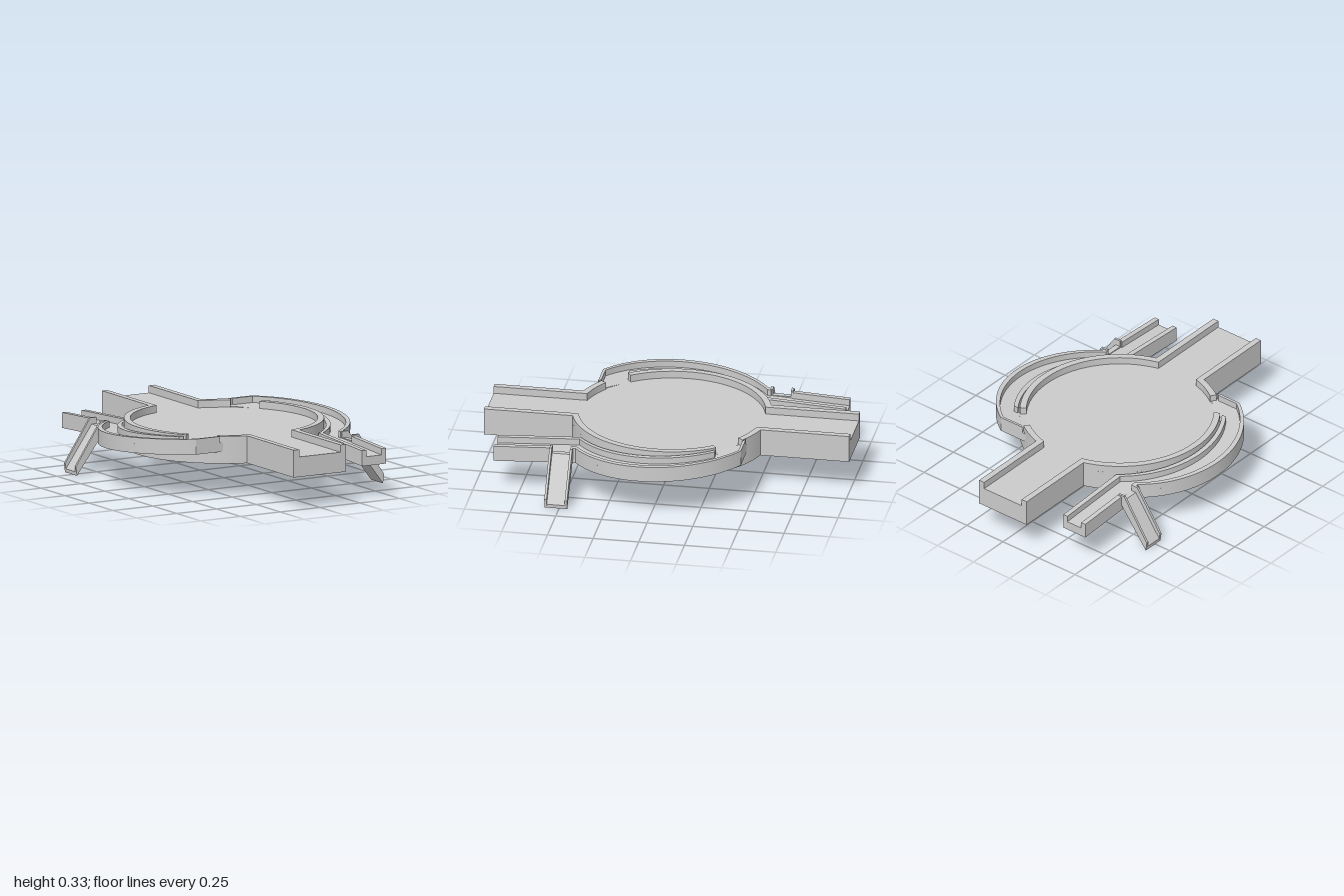
import * as THREE from 'three';
import { toCreasedNormals } from 'three/addons/utils/BufferGeometryUtils.js';

const mat = new THREE.MeshStandardMaterial({ color: 0xcccccc });
const BOTTOM = 0.18, FLOOR = 0.29, TOP = 0.33;
const R_IN = 0.505, R_OUT = 0.54;      // round wall
const C_IN = 0.13, C_OUT = 0.165;      // straight channel half widths
const RAMP_R = 0.55, RAMP_W = 0.152, RAMP_WALL = 0.028, RAMP_FLOOR = -0.035;

function mesh(name, geo) {
  const m = new THREE.Mesh(toCreasedNormals(geo, 0.5), mat);
  m.name = name;
  return m;
}

// Points on an arc about the origin
function arc(r, a0, a1, n = 40) {
  return Array.from({ length: n + 1 }, (_, i) => {
    const a = a0 + (a1 - a0) * i / n;
    return new THREE.Vector2(r * Math.cos(a), r * Math.sin(a));
  });
}

// Plan outline (x, -z) raised from y0 to y1
function slab(name, pts, y0, y1) {
  const g = new THREE.ExtrudeGeometry(new THREE.Shape(pts), { depth: y1 - y0, bevelEnabled: false });
  g.rotateX(-Math.PI / 2).translate(0, y0, 0);
  return mesh(name, g);
}

// Side outline (x, y) extended from z0 to z1
function sideSlab(name, pts, z0, z1) {
  const shape = new THREE.Shape(pts.map(p => new THREE.Vector2(...p)));
  const g = new THREE.ExtrudeGeometry(shape, { depth: z1 - z0, bevelEnabled: false });
  return mesh(name, g.translate(0, 0, z0));
}

// Rim wall: along a straight channel, then round the disc to the given angle
function rimWall(endDeg, side) {
  const end = THREE.MathUtils.degToRad(endDeg);
  const pts = [
    new THREE.Vector2(C_IN, 1),
    ...arc(R_IN, Math.acos(C_IN / R_IN), end),
    ...arc(R_OUT, end, Math.acos(C_OUT / R_OUT)),
    new THREE.Vector2(C_OUT, 1),
  ];
  pts.forEach(p => { p.y *= side; });
  return slab('rimWall', pts, FLOOR - 0.01, TOP);
}

// Ramp path: its inner edge follows the disc, then runs straight; its top falls evenly
const rampX = z => Math.sqrt(RAMP_R ** 2 - Math.min(z, 0.44) ** 2);
const rampTop = z => 0.307 - 0.0525 * z;

// Strip of the ramp between z0 and z1, offsets u across and h from the wall top
function rampStrip(name, z0, z1, u0, u1, h0, h1) {
  const zs = [z0];
  const n = 48;
  for (let i = 1; i < n; i++) zs.push(z0 + (z1 - z0) * i / n);
  if (z0 < 0.44 && z1 > 0.44) zs.push(0.44);
  zs.push(z1);
  zs.sort((a, b) => a - b);
  const pos = [], idx = [];
  for (const z of zs) {
    const x = rampX(z), y = rampTop(z);
    pos.push(x + u0, y + h0, z, x + u1, y + h0, z, x + u1, y + h1, z, x + u0, y + h1, z);
  }
  for (let i = 0; i < zs.length - 1; i++) {
    for (let j = 0; j < 4; j++) {
      const a = i * 4 + j, b = i * 4 + (j + 1) % 4;
      idx.push(a, b, b + 4, a, b + 4, a + 4);
    }
  }
  const e = (zs.length - 1) * 4;
  idx.push(0, 2, 1, 0, 3, 2, e, e + 1, e + 2, e, e + 2, e + 3);
  const g = new THREE.BufferGeometry();
  g.setAttribute('position', new THREE.Float32BufferAttribute(pos, 3));
  g.setIndex(idx);
  return mesh(name, g);
}

function createRamp() {
  const ramp = new THREE.Group();
  ramp.name = 'sideRamp';
  const outer = RAMP_W - RAMP_WALL, low = RAMP_FLOOR - 0.005;
  ramp.add(
    rampStrip('rampFloor', -0.46, 0.89, 0, RAMP_W, -0.085, RAMP_FLOOR),
    rampStrip('rampEntry', -0.46, -0.31, -0.06, 0.005, -0.085, RAMP_FLOOR),
    rampStrip('rampInnerWall', -0.32, 0.89, 0, RAMP_WALL, low, 0),
    rampStrip('rampOuterWall', -0.46, 0.46, outer, RAMP_W, low, 0),
    rampStrip('outletOuterWall', 0.575, 0.89, outer, RAMP_W, low, 0),
    rampStrip('rampEndWall', -0.46, -0.445, 0, RAMP_W, low, 0),
  );
  return ramp;
}

// Steep open chute that drops away from the ramp outlet
function createChute() {
  const chute = new THREE.Group();
  chute.name = 'chute';
  const wall = [[0.46, 0.225], [0.48, 0.225], [0.65, 0], [0.657, 0.05], [0.5, 0.285], [0.46, 0.285]];
  const floor = [[0.46, 0.225], [0.48, 0.225], [0.65, 0], [0.652, 0.02], [0.49, 0.25], [0.46, 0.25]];
  chute.add(
    sideSlab('chuteFloor', floor, 0.46, 0.575),
    sideSlab('chuteWall', wall, 0.455, 0.468),
    sideSlab('chuteWall', wall, 0.567, 0.58),
  );
  return chute;
}

export function createModel() {
  const model = new THREE.Group();
  model.name = 'marbleTrack';

  // Solid disc with a straight channel at the front and back
  const corner = Math.acos(C_OUT / R_OUT);
  model.add(slab('base', [
    new THREE.Vector2(C_OUT, -1),
    ...arc(R_OUT, -corner, corner, 64),
    new THREE.Vector2(C_OUT, 1),
    new THREE.Vector2(-C_OUT, 1),
    ...arc(R_OUT, Math.PI - corner, Math.PI + corner, 64),
    new THREE.Vector2(-C_OUT, -1),
  ], BOTTOM, FLOOR));

  // Each half is the other turned half way round
  for (const turn of [0, Math.PI]) {
    const half = new THREE.Group();
    half.name = turn ? 'rightHalf' : 'leftHalf';
    half.add(rimWall(55, 1), rimWall(-36.5, -1), createRamp(), createChute());
    half.rotation.y = turn;
    model.add(half);
  }
  return model;
}
